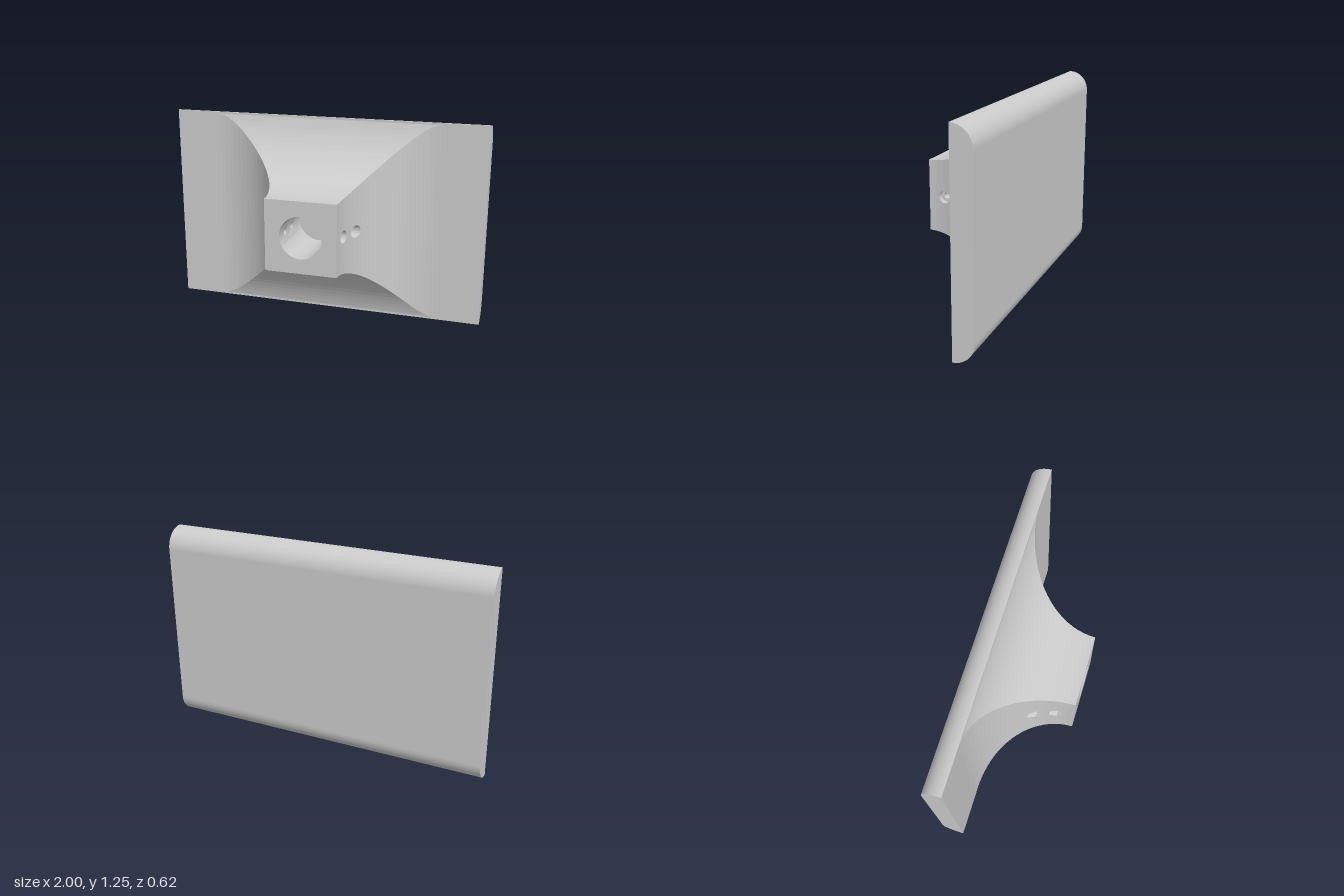
import * as THREE from 'three';

const CY = 0.625;                       // height of the centre line
const FRONT = 0.3125, PLATE = -0.1875, BACK = -0.3125;
const HALF = 0.22;                      // half size of the square neck end
const BORE_R = 0.13, BORE_END = -0.06;
const HOLES_Z = [0.21, 0.09], CELL = 0.06;   // screw holes and half size of the panel cell around each
const Z_LO = 0.03, Z_HI = 0.27;         // depth range covered by the pierced cells
const FLOOR_X = 0.19, SCREW_R = 0.02;

// Flared neck: half width and half height at depth z
const flare = (z, R) => HALF + R - Math.sqrt(Math.max(0, R * R - (FRONT - z) ** 2));
const halfW = z => flare(z, 0.5);
const halfH = z => flare(z, 0.515);
const boreX = y => Math.sqrt(BORE_R ** 2 - y * y);

const material = new THREE.MeshStandardMaterial({ color: 0xcccccc, flatShading: true });

// Collects quads (points are [x, y, z], y measured from the centre line)
function quadMesh(name, quads) {
  const pos = [];
  for (const [a, b, c, d] of quads) for (const p of [a, b, c, a, c, d]) pos.push(p[0], p[1] + CY, p[2]);
  const g = new THREE.BufferGeometry();
  g.setAttribute('position', new THREE.Float32BufferAttribute(pos, 3));
  g.computeVertexNormals();
  return named(name, g);
}

function named(name, geometry) {
  const m = new THREE.Mesh(geometry, material);
  m.name = name;
  return m;
}

// Quads for the +x side, mirrored with reversed order for the other
const onSide = (quads, s) => s > 0 ? quads
  : quads.map(q => q.map(([x, y, z]) => [-x, y, z]).reverse());

// Plate with rounded rear edges, extruded along x
function plate() {
  const r = 0.125, h = 2 * CY, s = new THREE.Shape();
  s.moveTo(-PLATE, 0);
  s.absarc(-BACK - r, r, r, -Math.PI / 2, 0, false);
  s.absarc(-BACK - r, h - r, r, 0, Math.PI / 2, false);
  s.lineTo(-PLATE, h);
  s.closePath();
  const g = new THREE.ExtrudeGeometry(s, { depth: 2, bevelEnabled: false, curveSegments: 10 });
  g.rotateY(Math.PI / 2).translate(-1, 0, 0);
  return named('plate', g);
}

// Four concave sides of the neck, leaving room for the pierced cells
function neckSides() {
  const zs = [Z_LO, 0.15, Z_HI];
  for (let i = 0; i <= 22; i++) zs.push(FRONT - 0.5 * Math.sin(i / 22 * Math.PI / 2));
  zs.sort((a, b) => a - b);
  const side = [], quads = [];
  for (let i = 0; i + 1 < zs.length; i++) {
    const z0 = zs[i], z1 = zs[i + 1];
    const w0 = halfW(z0), w1 = halfW(z1), h0 = halfH(z0), h1 = halfH(z1);
    const strip = (a0, b0, a1, b1) =>
      side.push([[w0, a0, z0], [w0, b0, z0], [w1, b1, z1], [w1, a1, z1]]);
    if (z0 >= Z_LO - 1e-6 && z1 <= Z_HI + 1e-6) {
      strip(-h0, -CELL, -h1, -CELL);
      strip(CELL, h0, CELL, h1);
    } else strip(-h0, h0, -h1, h1);
    quads.push([[-w0, h0, z0], [-w1, h1, z1], [w1, h1, z1], [w0, h0, z0]]);
    quads.push([[w0, -h0, z0], [w1, -h1, z1], [-w1, -h1, z1], [-w0, -h0, z0]]);
  }
  return quadMesh('neckSides', [...quads, ...onSide(side, 1), ...onSide(side, -1)]);
}

// One recessed screw hole: outer cell, pocket, floor, shank hole and bore cell as a chain of loops
function screwHole(zc, side) {
  const N = 24, step = Math.PI / 3;
  const square = a => CELL / Math.max(Math.abs(Math.cos(a)), Math.abs(Math.sin(a)));
  const hex = a => 0.048 / Math.cos(a - Math.round(a / step) * step);
  const pocket = side > 0 ? () => 0.038 : hex;
  const shank = () => SCREW_R;
  const outer = (y, z) => halfW(z), floor = () => FLOOR_X, inner = y => boreX(y);
  const chain = [[square, outer], [pocket, outer], [pocket, floor], [shank, floor], [shank, inner], [square, inner]];
  const loops = chain.map(([radius, x]) => Array.from({ length: N }, (_, i) => {
    const a = i / N * Math.PI * 2, y = radius(a) * Math.sin(a), z = zc + radius(a) * Math.cos(a);
    return [x(y, z), y, z];
  }));
  const quads = [];
  for (let k = 0; k + 1 < loops.length; k++) {
    for (let i = 0; i < N; i++) {
      const j = (i + 1) % N;
      quads.push([loops[k + 1][i], loops[k + 1][j], loops[k][j], loops[k][i]]);
    }
  }
  return quadMesh(side > 0 ? 'screwHole' : 'nutPocket', onSide(quads, side));
}

// Bore outline, with corners where the pierced cells begin
function boreOutline() {
  const A = Math.asin(CELL / BORE_R), P = Math.PI, pts = [];
  for (const [from, to, n] of [[-A, A, 8], [A, P - A, 16], [P - A, P + A, 8], [P + A, 2 * P - A, 16]]) {
    for (let i = 0; i < n; i++) {
      const a = from + (to - from) * i / n;
      pts.push(new THREE.Vector2(BORE_R * Math.cos(a), BORE_R * Math.sin(a)));
    }
  }
  return pts;
}

function boreWall(outline) {
  const quads = [];
  for (const [zb, zf] of [[BORE_END, Z_LO], [Z_LO, Z_HI], [Z_HI, FRONT]]) {
    outline.forEach((p, i) => {
      const q = outline[(i + 1) % outline.length];
      const pierced = Math.max(Math.abs(p.y), Math.abs(q.y)) < CELL + 1e-6;
      if (pierced && zb === Z_LO) return;
      quads.push([[p.x, p.y, zb], [p.x, p.y, zf], [q.x, q.y, zf], [q.x, q.y, zb]]);
    });
  }
  return quadMesh('boreWall', quads);
}

export function createModel() {
  const model = new THREE.Group();
  model.name = 'wallMount';
  const neck = new THREE.Group();
  neck.name = 'neck';
  const outline = boreOutline();

  // Square end face around the bore
  const face = new THREE.Shape([[-1, -1], [1, -1], [1, 1], [-1, 1]].map(([x, y]) => new THREE.Vector2(x * HALF, y * HALF)));
  face.holes.push(new THREE.Path(outline));
  neck.add(named('endFace', new THREE.ShapeGeometry(face).translate(0, CY, FRONT)));
  neck.add(named('boreFloor', new THREE.ShapeGeometry(new THREE.Shape(outline)).translate(0, CY, BORE_END)));
  neck.add(neckSides(), boreWall(outline));
  for (const z of HOLES_Z) for (const side of [1, -1]) neck.add(screwHole(z, side));

  model.add(plate(), neck);
  return model;
}
